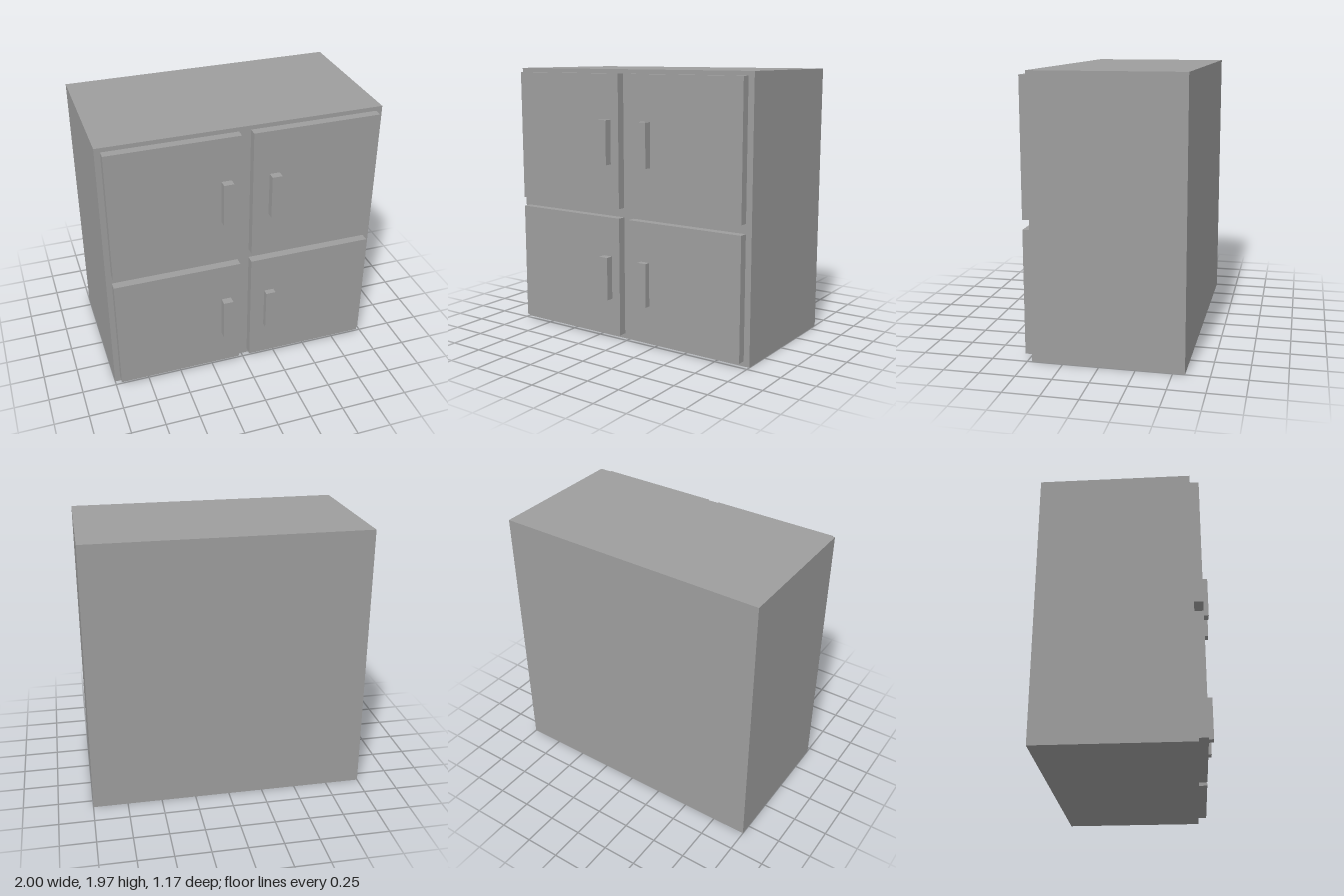
import * as THREE from 'three';

export function createModel() {
  const model = new THREE.Group();
  const material = new THREE.MeshStandardMaterial({ color: 0x9d9d9d, flatShading: true });

  // Box given by its extents along each axis
  function block(name, [x0, x1], [y0, y1], [z0, z1]) {
    const mesh = new THREE.Mesh(new THREE.BoxGeometry(x1 - x0, y1 - y0, z1 - z0), material);
    mesh.name = name;
    mesh.position.set((x0 + x1) / 2, (y0 + y1) / 2, (z0 + z1) / 2);
    model.add(mesh);
  }

  const bodyFront = 0.465, doorFront = 0.527;

  // Cabinet body
  block('cabinetBody', [-1, 1], [0, 1.965], [-0.583, bodyFront]);

  // Four doors, each with an upright handle near the centre line
  const rightDoor = [-0.96, -0.04], leftDoor = [0.044, 0.956];
  const upper = [0.979, 1.935], lower = [0.037, 0.91];
  const upperHandle = [1.296, 1.613], lowerHandle = [0.306, 0.623];
  const doors = [
    ['upperRight', rightDoor, upper, [-0.181, -0.109], upperHandle, 0.583],
    ['upperLeft', leftDoor, upper, [0.162, 0.234], upperHandle, 0.583],
    ['lowerRight', rightDoor, lower, [-0.181, -0.109], lowerHandle, 0.583],
    ['lowerLeft', leftDoor, lower, [0.151, 0.223], lowerHandle, 0.571],
  ];
  for (const [name, doorX, doorY, handleX, handleY, handleFront] of doors) {
    block(name + 'Door', doorX, doorY, [bodyFront, doorFront]);
    block(name + 'Handle', handleX, handleY, [doorFront, handleFront]);
  }

  return model;
}
